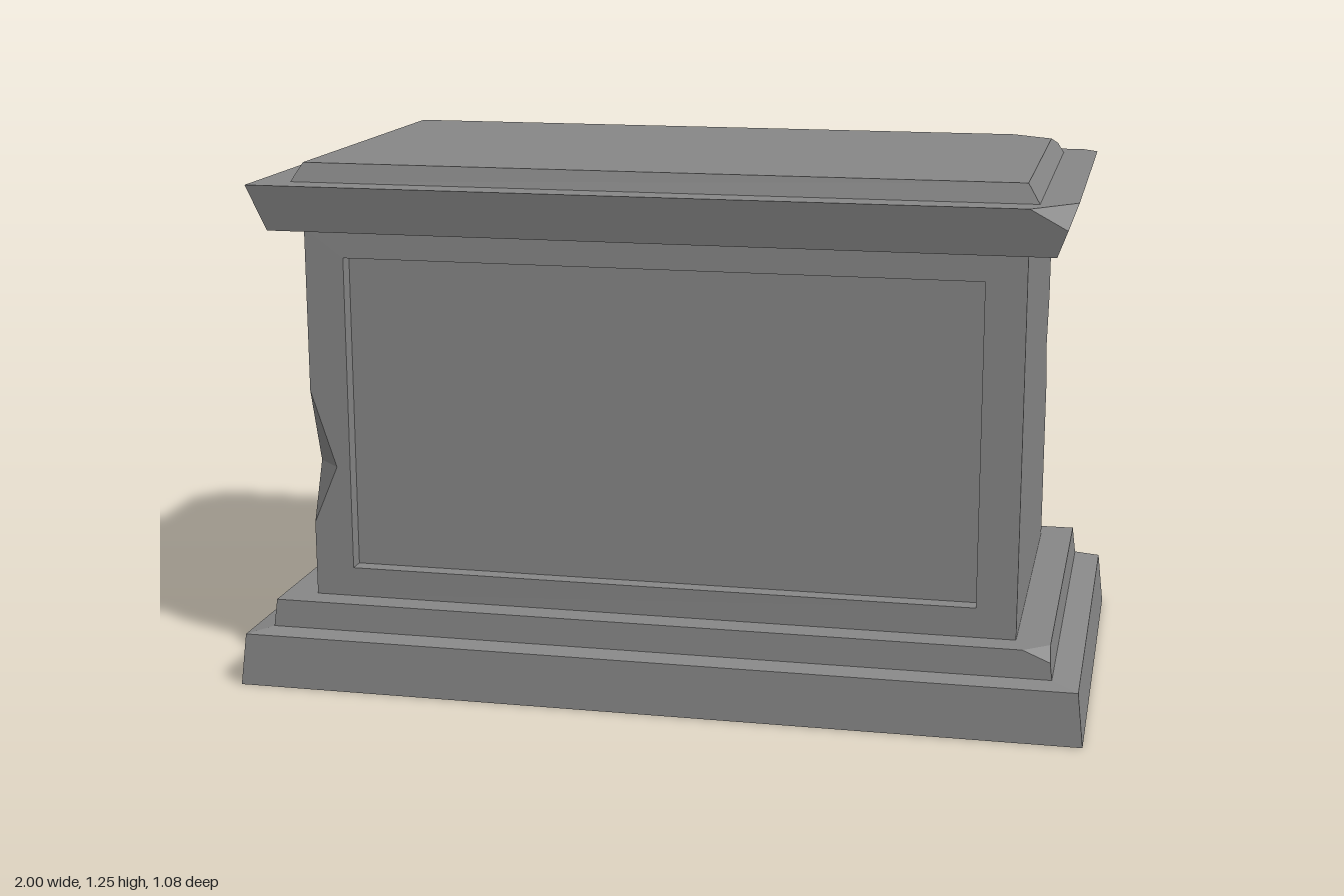
import * as THREE from 'three';
import { ConvexGeometry } from 'three/addons/geometries/ConvexGeometry.js';

const stone = new THREE.MeshStandardMaterial({ color: 0x868686 });

const mesh = (name, geometry) => {
  const m = new THREE.Mesh(geometry, stone);
  m.name = name;
  return m;
};

// Tapered block from levels [y, halfX, halfZ]; chips break off top corners:
// { sx, sz: corner signs, dx, dz, dy: lengths cut along the three edges }
function block(name, levels, chips = []) {
  const points = [];
  const [y1, x1, z1] = levels[levels.length - 1];
  const [y0, x0, z0] = levels[levels.length - 2];
  for (const sx of [-1, 1]) for (const sz of [-1, 1]) {
    const add = (x, y, z) => points.push(new THREE.Vector3(sx * x, y, sz * z));
    levels.slice(0, -1).forEach(([y, x, z]) => add(x, y, z));
    const c = chips.find((k) => k.sx === sx && k.sz === sz);
    if (!c) { add(x1, y1, z1); continue; }
    const t = c.dy / (y1 - y0);
    add(x1 - c.dx, y1, z1);
    add(x1, y1, z1 - c.dz);
    add(x1 + (x0 - x1) * t, y1 - c.dy, z1 + (z0 - z1) * t);
  }
  return mesh(name, new ConvexGeometry(points));
}

// Flat-shaded faces from triangles of [x, y, z] corners
function facets(triangles) {
  const g = new THREE.BufferGeometry();
  g.setAttribute('position', new THREE.Float32BufferAttribute(triangles.flat(2), 3));
  g.computeVertexNormals();
  return g;
}

const outline = (pts) => pts.map(([x, y]) => new THREE.Vector2(x, y));

// Half of the body: panelled front, plain side and the notched edge between them
function bodyHalf(name, { top, mid, bottom, depth }) {
  const half = new THREE.Group();
  half.name = name;
  const hx = 0.838, hz = 0.437, yb = 0.205, yt = 1.1;
  const px = 0.745, pb = 0.277, pt = 1.03, recess = 0.04;

  // Front wall with an opening for the panel
  const front = new THREE.Shape(outline([
    [-hx, yb], [hx, yb], [hx, yt], [-hx, yt],
    [-hx, top], [-hx + depth, mid], [-hx, bottom]]));
  const rim = [[-px, pb], [px, pb], [px, pt], [-px, pt]];
  front.holes.push(new THREE.Path(outline(rim)));
  half.add(mesh('panelFrame', new THREE.ShapeGeometry(front).translate(0, 0, hz)));

  // Side wall
  const side = new THREE.Shape(outline([
    [-hz, yb], [hz, yb], [hz, bottom], [hz - depth, mid],
    [hz, top], [hz, yt], [-hz, yt]]));
  half.add(mesh('sideWall',
    new THREE.ShapeGeometry(side).rotateY(-Math.PI / 2).translate(-hx, 0, 0)));

  // Broken edge
  const p = [-hx + depth, mid, hz], q = [-hx, mid, hz - depth];
  half.add(mesh('edgeNotch', facets([[[-hx, top, hz], q, p], [[-hx, bottom, hz], p, q]])));

  // Sunken panel and its reveals
  const panel = new THREE.PlaneGeometry(2 * px, pt - pb);
  half.add(mesh('sunkenPanel', panel.translate(0, (pb + pt) / 2, hz - recess)));
  const reveals = [];
  rim.forEach((a, i) => {
    const b = rim[(i + 1) % 4];
    const [a0, b0] = [[...a, hz], [...b, hz]];
    const [a1, b1] = [[...a, hz - recess], [...b, hz - recess]];
    reveals.push([a0, b0, b1], [a0, b1, a1]);
  });
  half.add(mesh('panelReveals', facets(reveals)));
  return half;
}

export function createModel() {
  const model = new THREE.Group();
  model.name = 'stonePedestal';

  // Stepped foot
  model.add(block('base', [[0, 1, 0.542], [0.126, 0.986, 0.536], [0.141, 0.925, 0.505]]));
  model.add(block('plinth', [[0.141, 0.925, 0.505], [0.207, 0.917, 0.502]], [
    { sx: 1, sz: 1, dx: 0.06, dz: 0.048, dy: 0.026 },
    { sx: -1, sz: -1, dx: 0.06, dz: 0.048, dy: 0.026 }]));

  // Body, the back half turned around
  model.add(bodyHalf('frontBody', { top: 0.71, mid: 0.525, bottom: 0.385, depth: 0.06 }));
  const back = bodyHalf('backBody', { top: 0.845, mid: 0.72, bottom: 0.598, depth: 0.057 });
  back.rotation.y = Math.PI;
  model.add(back);

  // Flared cornice and top slab
  model.add(block('cornice', [[1.1, 0.903, 0.502], [1.208, 0.943, 0.527]], [
    { sx: 1, sz: 1, dx: 0.1, dz: 0.11, dy: 0.047 },
    { sx: -1, sz: -1, dx: 0.11, dz: 0.09, dy: 0.042 },
    { sx: 1, sz: -1, dx: 0.035, dz: 0.037, dy: 0.028 }]));
  model.add(block('topSlab', [[1.208, 0.86, 0.455], [1.252, 0.833, 0.441]], [
    { sx: 1, sz: -1, dx: 0.1, dz: 0.07, dy: 0.02 }]));

  return model;
}
